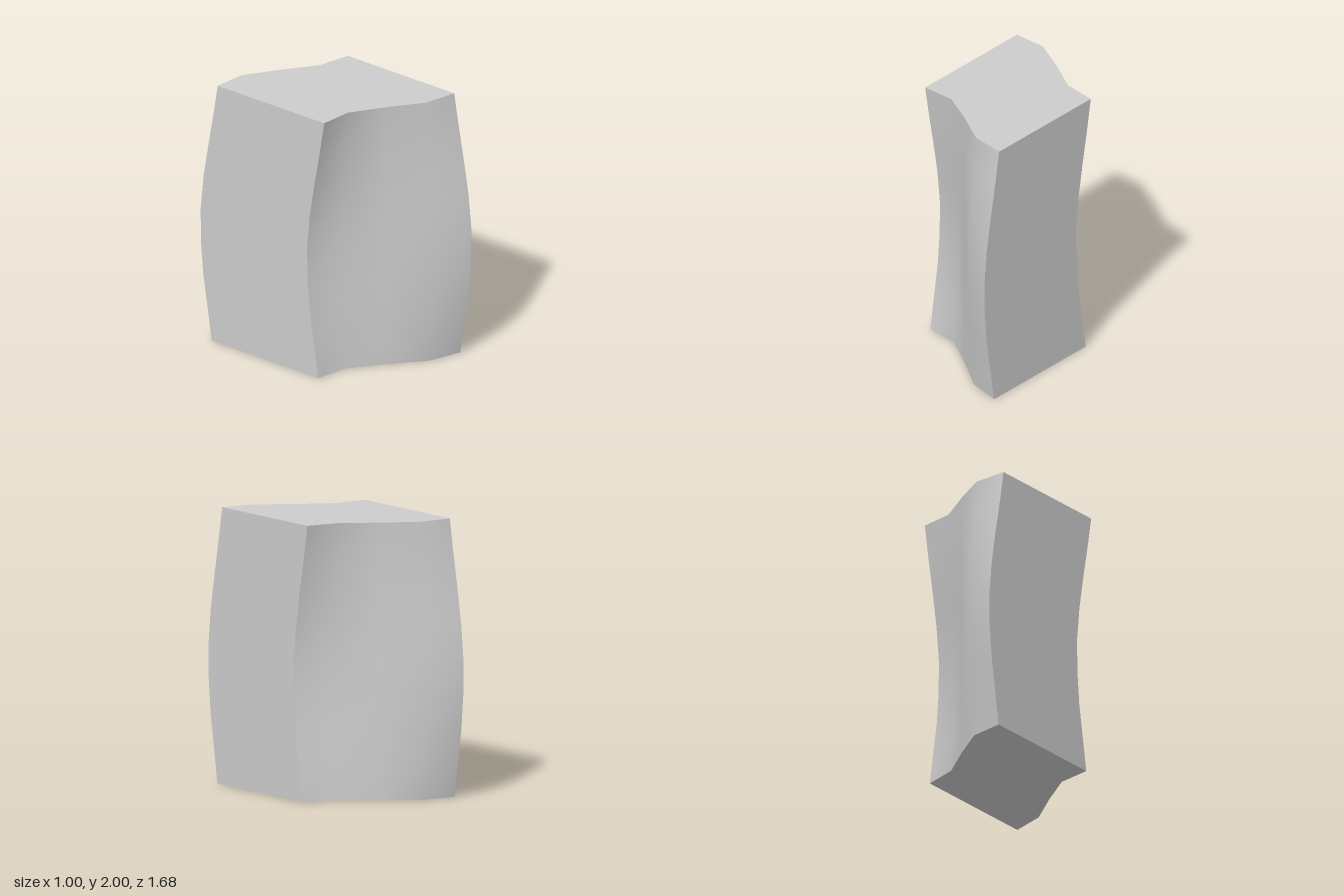
import * as THREE from 'three';

// Depth shift of the side walls at nine heights, bottom to top
const SWAY = [0.235, 0.275, 0.315, 0.337, 0.339, 0.313, 0.27, 0.222, 0.179];
// Ripple across the width, from -x to +x
const RIPPLE = [0, -0.083, -0.028, 0.047, 0];

export function createModel() {
  const group = new THREE.Group();
  const stone = new THREE.MeshStandardMaterial({ color: 0xcccccc });
  stone.name = 'light grey';

  // Block whose columns slide along z: a varying shear plus the ripple
  const geometry = new THREE.BoxGeometry(1, 2, 1, 4, 8, 1);
  geometry.translate(0, 1, 0);
  const pos = geometry.attributes.position;
  for (let i = 0; i < pos.count; i++) {
    const x = pos.getX(i);
    const row = Math.round(pos.getY(i) * 4);
    const column = Math.round((x + 0.5) * 4);
    pos.setZ(i, pos.getZ(i) + 2 * x * SWAY[row] + RIPPLE[column]);
  }
  geometry.computeVertexNormals();

  const pillar = new THREE.Mesh(geometry, stone);
  pillar.name = 'wavyPillar';
  group.add(pillar);
  return group;
}
